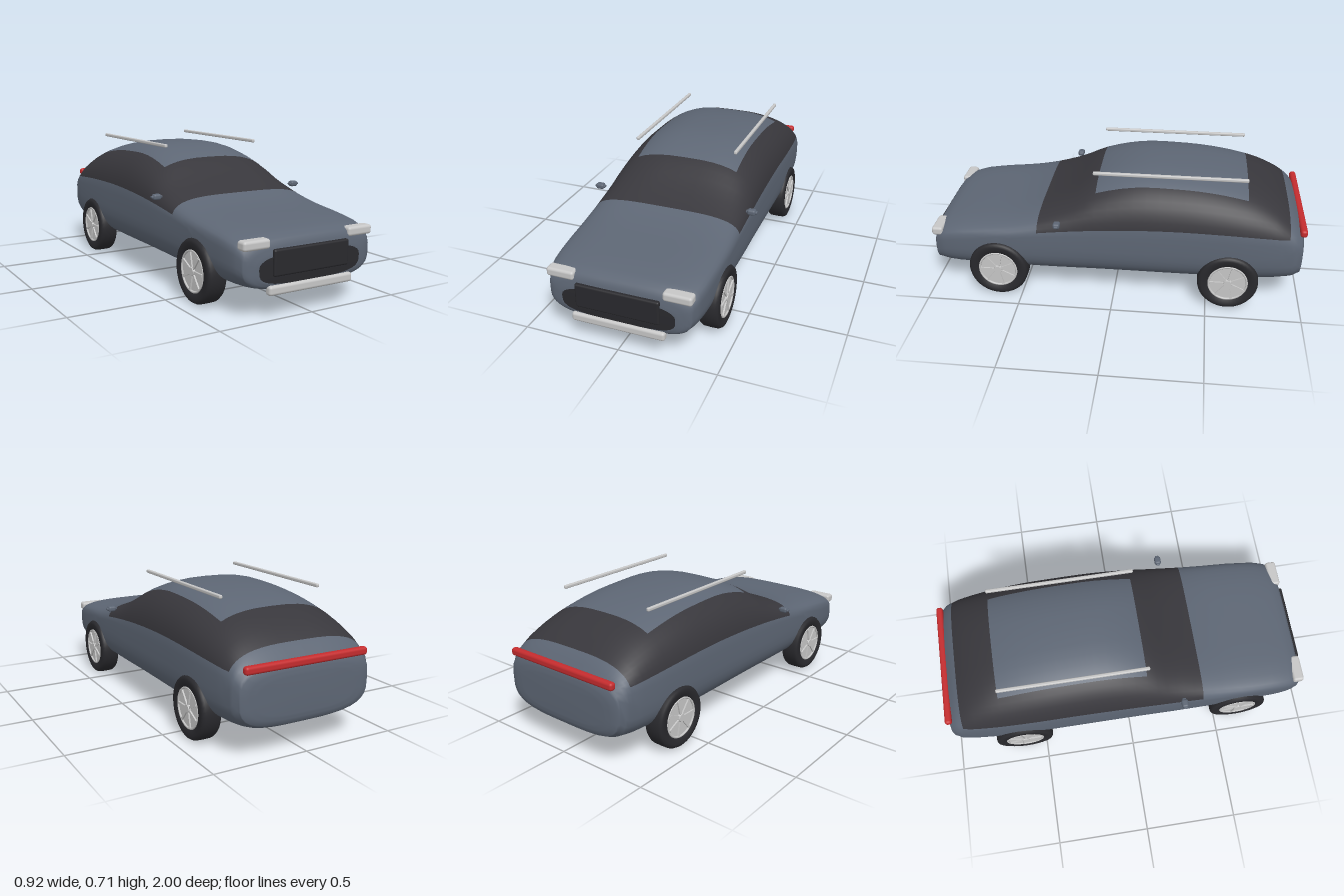
import * as THREE from 'three';
import { RoundedBoxGeometry } from 'three/addons/geometries/RoundedBoxGeometry.js';

const material = (name, color, extra = {}) =>
  Object.assign(new THREE.MeshStandardMaterial({ color, ...extra }), { name });

// Body stations: z, half width, bottom, widest height, top, upper roundness
const STATIONS = [
  [-0.995, 0.27, 0.2, 0.3, 0.38, 3],
  [-0.99, 0.33, 0.17, 0.3, 0.415, 3.2],
  [-0.97, 0.365, 0.145, 0.32, 0.45, 3.3],
  [-0.91, 0.385, 0.125, 0.33, 0.515, 3.2],
  [-0.8, 0.398, 0.115, 0.34, 0.588, 2.9],
  [-0.69, 0.405, 0.11, 0.35, 0.632, 2.75],
  [-0.5, 0.41, 0.107, 0.36, 0.672, 2.7],
  [-0.3, 0.41, 0.105, 0.36, 0.688, 2.7],
  [-0.1, 0.41, 0.105, 0.36, 0.684, 2.7],
  [0.1, 0.41, 0.105, 0.355, 0.628, 2.8],
  [0.25, 0.41, 0.105, 0.345, 0.54, 3.2],
  [0.4, 0.408, 0.105, 0.335, 0.474, 3.8],
  [0.55, 0.406, 0.106, 0.33, 0.435, 4],
  [0.75, 0.4, 0.108, 0.32, 0.41, 4],
  [0.9, 0.387, 0.115, 0.3, 0.388, 3.6],
  [0.95, 0.37, 0.125, 0.28, 0.37, 3.2],
  [0.975, 0.345, 0.135, 0.25, 0.345, 3],
  [0.985, 0.29, 0.155, 0.235, 0.3, 2.6],
];
const BANDS = [5, 10, 6, 5]; // underside, flank, side window, roof
const HALF = BANDS.reduce((a, b) => a + b);
const LOWER_ROUNDNESS = 3.5;

// Half cross-section from bottom centre to top centre, split at the colour borders
function halfSection([w, bottom, mid, top, n], z) {
  const low = mid - bottom, high = top - mid;
  const sill = Math.max(0.13, bottom + 0.003);
  const belt = 0.452 - 0.1 * (z + 0.35) ** 2;
  const rise = THREE.MathUtils.clamp((belt - mid) / high, 0.1, 0.7);
  const roofX = Math.min(0.285 / w, 0.7);
  const angles = [
    -Math.PI / 2,
    -Math.asin(((mid - sill) / low) ** (LOWER_ROUNDNESS / 2)),
    Math.asin(rise ** (n / 2)),
    Math.acos(roofX ** (n / 2)),
    Math.PI / 2,
  ];
  const points = [];
  const add = (a) => {
    const e = 2 / (a < 0 ? LOWER_ROUNDNESS : n);
    const c = Math.max(0, Math.cos(a)), s = Math.abs(Math.sin(a));
    points.push([w * c ** e, a < 0 ? mid - low * s ** e : mid + high * s ** e]);
  };
  BANDS.forEach((count, b) => {
    for (let k = 0; k < count; k++) add(THREE.MathUtils.lerp(angles[b], angles[b + 1], k / count));
  });
  add(Math.PI / 2);
  points[0][0] = points[HALF][0] = 0;
  return points;
}

// Smooth shell lofted through the stations: groups are paint, glass, trim
function bodyGeometry() {
  const spline = new THREE.CubicInterpolant(
    STATIONS.map((s) => s[0]), STATIONS.flatMap((s) => s.slice(1)), 5);
  const zs = [];
  STATIONS.forEach(([z], i) => {
    if (i) for (let k = 1; k <= 3; k++) zs.push(THREE.MathUtils.lerp(STATIONS[i - 1][0], z, k / 3));
    else zs.push(z);
  });
  const ring = HALF * 2, positions = [], faces = [[], [], []];
  for (const z of zs) {
    const half = halfSection([...spline.evaluate(z)], z);
    for (let j = 0; j < ring; j++) {
      const [x, y] = half[j <= HALF ? j : ring - j];
      positions.push(j <= HALF ? x : -x, y, z);
    }
  }
  const bandOf = (j) => {
    let k = j < HALF ? j : ring - 1 - j, b = 0;
    while (k >= BANDS[b]) k -= BANDS[b++];
    return b;
  };
  const within = (z, a, b) => z > a && z < b;
  for (let i = 0; i < zs.length - 1; i++) {
    const z = (zs[i] + zs[i + 1]) / 2;
    for (let j = 0; j < ring; j++) {
      const band = bandOf(j), k = (j + 1) % ring;
      let colour = 0;
      if (band === 0 && within(z, -0.93, 0.96)) colour = 2;
      if (band >= 2 && within(z, -0.91, 0.4) && !(band === 3 && within(z, -0.69, 0.1))) colour = 1;
      const a = i * ring + j, b = i * ring + k, c = b + ring, d = a + ring;
      faces[colour].push(a, b, c, a, c, d);
    }
  }
  // End caps
  const last = (zs.length - 1) * ring, centre = positions.length / 3;
  positions.push(0, 0.29, -0.997, 0, 0.23, 0.987);
  for (let j = 0; j < ring; j++) {
    const k = (j + 1) % ring;
    faces[0].push(centre, k, j);
    faces[2].push(centre + 1, last + j, last + k);
  }
  const geometry = new THREE.BufferGeometry();
  geometry.setAttribute('position', new THREE.Float32BufferAttribute(positions, 3));
  geometry.setIndex(faces.flat());
  let start = 0;
  faces.forEach((f, m) => { geometry.addGroup(start, f.length, m); start += f.length; });
  geometry.computeVertexNormals();
  return geometry;
}

export function createModel() {
  const paint = material('blue grey paint', 0x5d6674);
  const glass = material('dark glass', 0x38373c);
  const trim = material('black trim', 0x29292d);
  const silver = material('silver', 0xc6c6c6);
  const red = material('red lamp', 0xc42c2e);

  const model = new THREE.Group();
  const add = (parent, name, geometry, mat, x = 0, y = 0, z = 0) => {
    const mesh = new THREE.Mesh(geometry, mat);
    mesh.name = name;
    mesh.position.set(x, y, z);
    parent.add(mesh);
    return mesh;
  };
  const rounded = (w, h, d, r) => new RoundedBoxGeometry(w, h, d, 3, r);

  add(model, 'body', bodyGeometry(), [paint, glass, trim]);
  add(model, 'grille', rounded(0.43, 0.125, 0.05, 0.01), trim, 0, 0.258, 0.973);
  add(model, 'frontBumperBar', rounded(0.48, 0.046, 0.04, 0.014), silver, 0, 0.133, 0.98);
  add(model, 'tailLightBar', rounded(0.68, 0.04, 0.036, 0.014), red, 0, 0.438, -0.982);

  // Paired details
  for (const side of [-1, 1]) {
    add(model, 'headlight', rounded(0.145, 0.046, 0.06, 0.014), silver, side * 0.297, 0.347, 0.953);
    add(model, 'roofRail', rounded(0.018, 0.018, 0.795, 0.006), silver, side * 0.279, 0.701, -0.285);
    const mirror = new THREE.Group();
    mirror.name = 'mirror';
    mirror.position.set(side * 0.43, 0.469, 0.285);
    add(mirror, 'mirrorHousing', rounded(0.044, 0.03, 0.036, 0.011), paint);
    add(mirror, 'mirrorArm', rounded(0.06, 0.013, 0.022, 0.005), paint);
    model.add(mirror);
  }

  // Wheels: the local y axis points outwards along the axle
  const tyreProfile = [
    [0.1, -0.046], [0.138, -0.052], [0.152, -0.048], [0.159, -0.036], [0.16, 0],
    [0.159, 0.036], [0.152, 0.048], [0.138, 0.052], [0.106, 0.048], [0.1, 0.03],
  ].map(([r, y]) => new THREE.Vector2(r, y));
  const tyre = new THREE.LatheGeometry(tyreProfile, 40);
  const rim = new THREE.CylinderGeometry(0.105, 0.105, 0.086, 40);
  const lip = new THREE.TorusGeometry(0.1, 0.006, 8, 40).rotateX(Math.PI / 2);
  const hub = new THREE.CylinderGeometry(0.02, 0.024, 0.014, 20);
  const spoke = new THREE.BoxGeometry(0.012, 0.01, 0.08).translate(0, 0, 0.055);
  for (const side of [-1, 1]) {
    for (const z of [0.62, -0.61]) {
      const wheel = new THREE.Group();
      wheel.name = 'wheel';
      wheel.position.set(side * 0.37, 0.161, z);
      wheel.rotation.z = -side * Math.PI / 2;
      add(wheel, 'tyre', tyre, trim);
      add(wheel, 'rim', rim, silver);
      add(wheel, 'rimLip', lip, silver, 0, 0.045, 0);
      add(wheel, 'hub', hub, silver, 0, 0.048, 0);
      for (let i = 0; i < 7; i++) {
        add(wheel, 'spoke', spoke, silver, 0, 0.046, 0).rotation.y = (i / 7) * Math.PI * 2;
      }
      model.add(wheel);
    }
  }
  return model;
}
